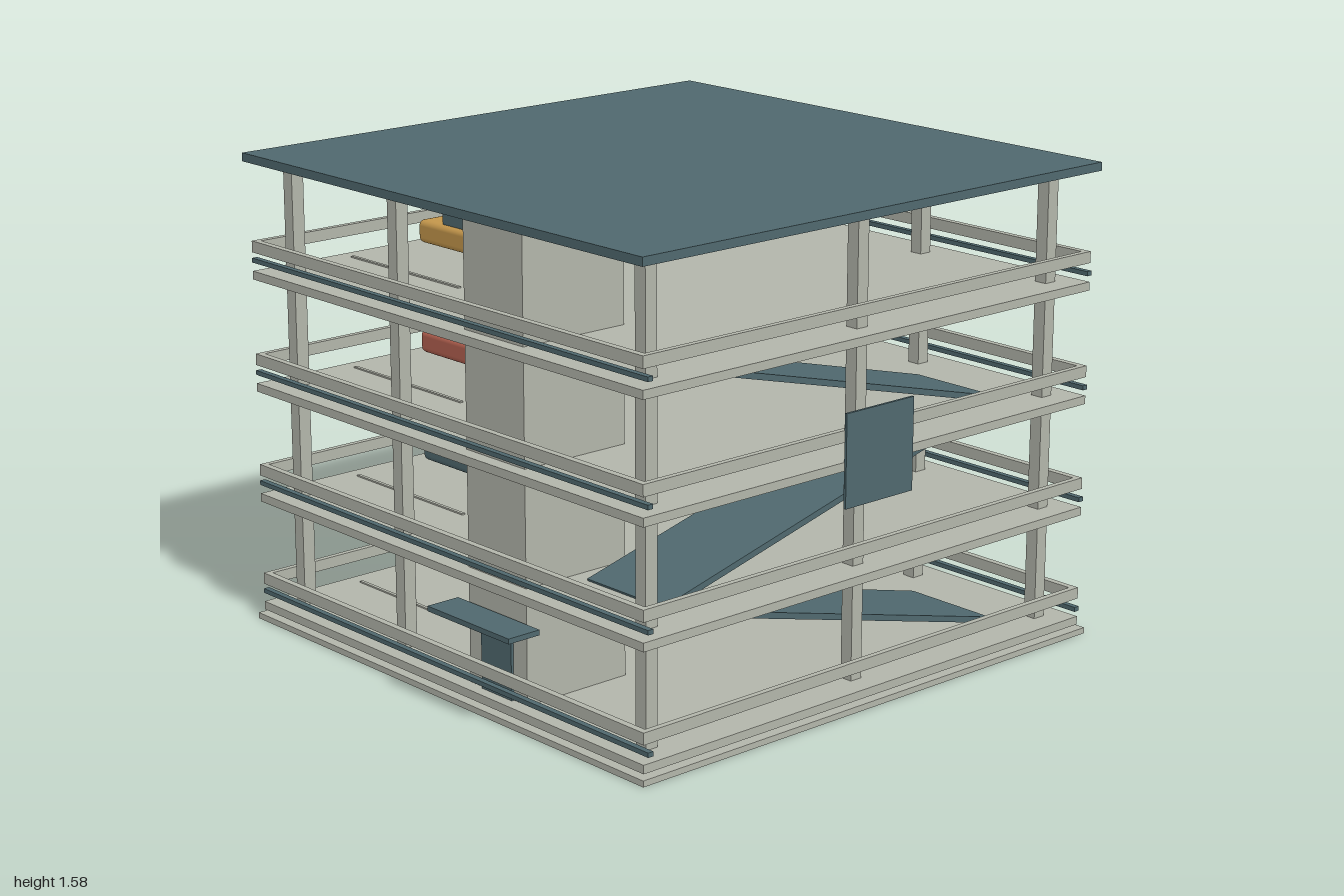
import * as THREE from 'three';
import { RoundedBoxGeometry } from 'three/addons/geometries/RoundedBoxGeometry.js';

const mat = (name, color) => {
  const m = new THREE.MeshStandardMaterial({ color });
  m.name = name;
  return m;
};

export function createModel() {
  const concrete = mat('concrete', 0xb2b5aa);
  const slate = mat('slate', 0x4f686e);
  const ochre = mat('ochre', 0xc3964b);
  const brick = mat('brick', 0xb2604f);

  const model = new THREE.Group();
  model.name = 'parkingGarage';

  // box given by its min and max on each axis
  const box = (name, material, [x0, x1], [y0, y1], [z0, z1], parent = model) => {
    const mesh = new THREE.Mesh(new THREE.BoxGeometry(x1 - x0, y1 - y0, z1 - z0), material);
    mesh.position.set((x0 + x1) / 2, (y0 + y1) / 2, (z0 + z1) / 2);
    mesh.name = name;
    parent.add(mesh);
    return mesh;
  };

  const rounded = (name, material, size, radius, pos, parent) => {
    const mesh = new THREE.Mesh(new RoundedBoxGeometry(...size, 2, radius), material);
    mesh.position.set(...pos);
    mesh.name = name;
    parent.add(mesh);
  };

  const midZ = -0.03;
  const pitch = 0.3765;
  const floorTop = (i) => 0.06 + i * pitch;

  // ground plate and roof
  box('basePlate', concrete, [-0.965, 0.965], [0, 0.02], [-1, 0.935]);
  box('roof', slate, [-0.965, 0.965], [1.55, 1.578], [-1, 0.935]);

  const carPaint = [ochre, slate, brick, ochre];

  for (let i = 0; i < 4; i++) {
    const level = new THREE.Group();
    level.name = `level${i + 1}`;
    level.position.y = floorTop(i);
    model.add(level);

    box('floorSlab', concrete, [-0.95, 0.95], [-0.028, 0], [-0.98, 0.92], level);

    // parapet rails on four sides, slate rails at front and back
    for (const s of [-1, 1]) {
      const z = midZ + s * 0.9385;
      box('parapetRail', concrete, [-0.95, 0.95], [0.062, 0.1], [z - 0.0115, z + 0.0115], level);
      box('sideParapetRail', concrete, [s * 0.94 - 0.01, s * 0.94 + 0.01], [0.062, 0.1], [-0.957, 0.897], level);
      const zr = midZ + s * 0.933;
      box('slateRail', slate, [-0.962, 0.962], [0.025, 0.04], [zr - 0.01, zr + 0.01], level);
    }

    // columns around the perimeter
    for (const x of [-0.85, -0.303, 0.303, 0.85]) {
      for (const dz of [-0.85, 0, 0.85]) {
        if (dz === 0 && Math.abs(x) < 0.5) continue;
        const z = midZ + dz;
        box('column', concrete, [x - 0.0225, x + 0.0225], [0, 0.34], [z - 0.0225, z + 0.0225], level);
      }
    }

    // parking bay lines
    for (const z of [0.565, -0.065, -0.695]) {
      box('bayLine', concrete, [-0.89, -0.325], [0, 0.005], [z - 0.006, z + 0.006], level);
    }

    // parked cars
    for (const z of [0.25, -0.38]) {
      const car = new THREE.Group();
      car.name = 'parkedCar';
      car.position.set(-0.608, 0, z);
      level.add(car);
      rounded('carBody', carPaint[i], [0.44, 0.078, 0.188], 0.02, [0, 0.066, 0], car);
      rounded('carCabin', slate, [0.226, 0.06, 0.156], 0.016, [0, 0.124, 0], car);
    }
  }

  // ramps zigzagging between the floors
  for (let i = 0; i < 3; i++) {
    const run = 1.43;
    const ramp = new THREE.Mesh(
      new THREE.BoxGeometry(0.345, 0.02, Math.hypot(run, pitch - 0.01)), slate);
    ramp.name = 'ramp';
    ramp.position.set(0.603, floorTop(i) + pitch / 2 - 0.008, midZ);
    ramp.rotation.x = (i % 2 ? 1 : -1) * Math.atan2(pitch - 0.01, run);
    model.add(ramp);
  }

  // stair core with entrance door and canopy
  box('stairCore', concrete, [0.088, 0.365], [0.02, 1.55], [0.478, 0.873]);
  box('entranceDoor', slate, [0.155, 0.3], [0.025, 0.293], [0.873, 0.882]);
  box('entranceCanopy', slate, [0.042, 0.435], [0.31, 0.327], [0.88, 1]);

  // blank sign panel on the side
  box('signPanel', slate, [0.948, 0.957], [0.666, 0.966], [-0.174, 0.114]);

  return model;
}
